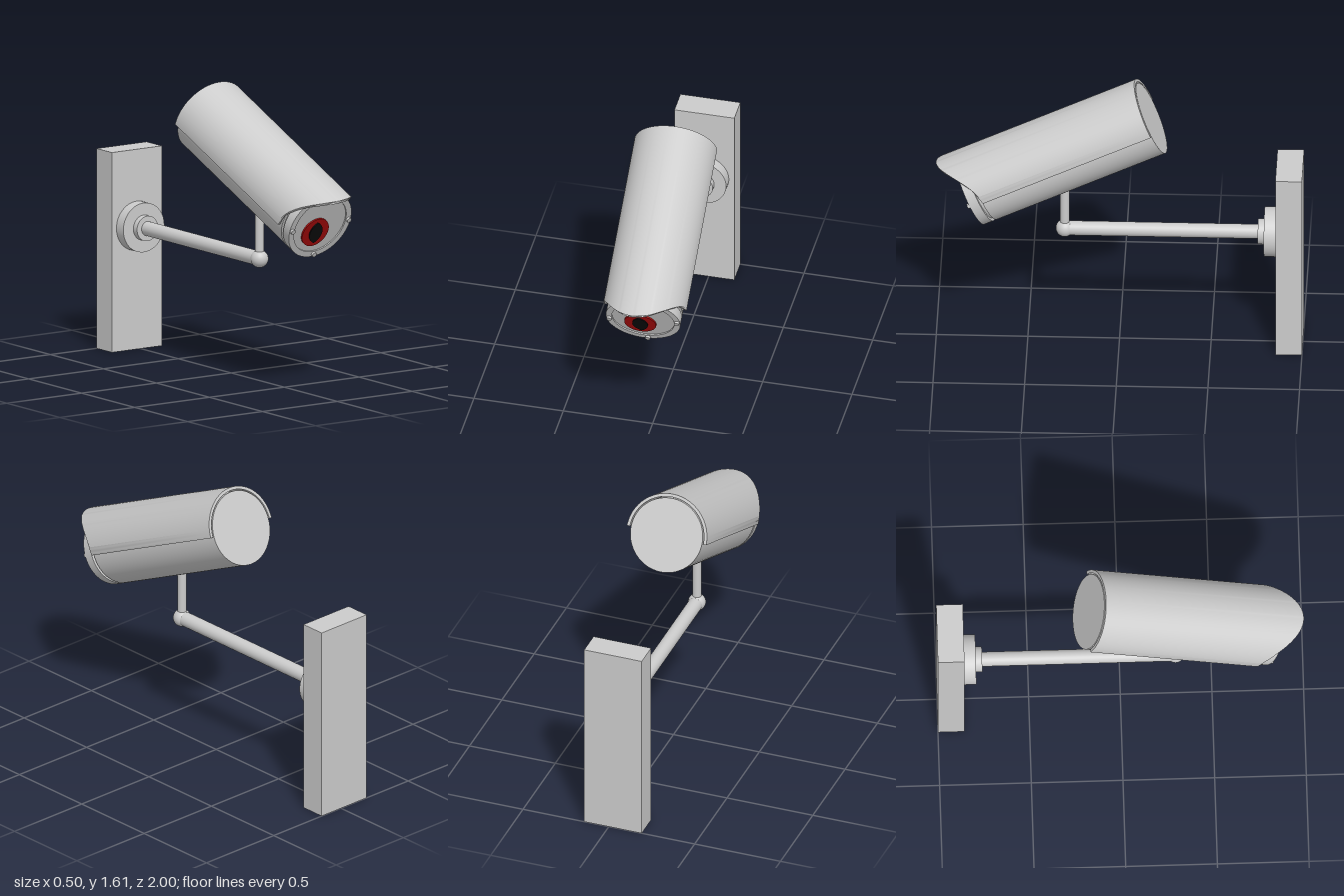
import * as THREE from 'three';
import { toCreasedNormals } from 'three/addons/utils/BufferGeometryUtils.js';

const grey = new THREE.MeshStandardMaterial({ color: 0xcccccc });
const red = new THREE.MeshStandardMaterial({ color: 0xaa0a0a });
const black = new THREE.MeshStandardMaterial({ color: 0x0c0c0c });

function add(parent, name, geometry, material = grey) {
  const mesh = new THREE.Mesh(geometry, material);
  mesh.name = name;
  parent.add(mesh);
  return mesh;
}

// Cylinder lying along z, from z0 to z1
function rodZ(radius, z0, z1, segments = 48) {
  return new THREE.CylinderGeometry(radius, radius, z1 - z0, segments)
    .rotateX(Math.PI / 2).translate(0, 0, (z0 + z1) / 2);
}

function extrude(shape, depth) {
  return toCreasedNormals(
    new THREE.ExtrudeGeometry(shape, { depth, bevelEnabled: false, curveSegments: 32 }), 0.6);
}

// Half-pipe sun shield whose front edge reaches forward towards the crown
function shieldGeometry(inner, outer, sideLength, peak) {
  const shape = new THREE.Shape();
  shape.absarc(0, 0, outer, 0, Math.PI, false);
  shape.absarc(0, 0, inner, Math.PI, 0, true);
  shape.closePath();
  const geo = new THREE.ExtrudeGeometry(shape, { depth: 1, bevelEnabled: false, curveSegments: 32 });
  const p = geo.attributes.position;
  for (let i = 0; i < p.count; i++) {
    if (p.getZ(i) < 0.5) continue;
    const s = p.getY(i) / Math.hypot(p.getX(i), p.getY(i));
    p.setZ(i, sideLength + peak * s * s);
  }
  return toCreasedNormals(geo, 0.6);
}

export function createModel() {
  const model = new THREE.Group();
  model.name = 'securityCamera';

  // Wall post, flanges and arm share one centre line
  const mount = new THREE.Group();
  mount.name = 'mount';
  mount.position.set(-0.024, 0.685, 0);
  model.add(mount);
  add(mount, 'wallPost', new THREE.BoxGeometry(0.335, 1.11, 0.145)).position.set(0, -0.13, -0.9275);
  add(mount, 'wallFlange', rodZ(0.137, -0.856, -0.79));
  add(mount, 'armCollar', rodZ(0.07, -0.791, -0.755));
  add(mount, 'arm', rodZ(0.04, -0.756, 0.3, 32));
  add(mount, 'elbowBall', new THREE.SphereGeometry(0.049, 32, 20)).position.set(0, 0, 0.3);
  add(mount, 'uprightRod', new THREE.CylinderGeometry(0.025, 0.025, 0.34, 24)).position.set(0, 0.17, 0.3);

  // Camera head: origin at the centre of its back, local +z runs to the lens
  const head = new THREE.Group();
  head.name = 'cameraHead';
  head.position.set(-0.025, 1.397, -0.174);
  head.rotation.set(0.428, 0.044, 0.07, 'YXZ');
  model.add(head);
  add(head, 'housing', rodZ(0.206, 0, 1.012, 64));
  add(head, 'housingGroove', rodZ(0.19, 1.01, 1.035, 64));
  add(head, 'sunShield', shieldGeometry(0.213, 0.23, 1.005, 0.183));

  // Front ring around the face plate
  const ring = new THREE.Shape();
  ring.absarc(0, 0, 0.206, 0, Math.PI * 2, false);
  const hole = new THREE.Path();
  hole.absarc(0, 0, 0.172, 0, Math.PI * 2, true);
  ring.holes.push(hole);
  add(head, 'frontRing', extrude(ring, 0.055)).position.z = 1.03;
  add(head, 'facePlate', rodZ(0.172, 1.03, 1.077, 64));

  // Screws on the ring
  for (const angle of [0, 0.5, 1, 1.5]) {
    const screw = add(head, 'ringScrew', rodZ(0.014, 1.08, 1.098, 16));
    screw.position.set(0.189 * Math.cos(angle * Math.PI), 0.189 * Math.sin(angle * Math.PI), 0);
  }

  // Red lens disc with a pointed black pupil
  const eye = new THREE.Group();
  eye.name = 'lens';
  eye.position.set(-0.022, -0.043, 0);
  head.add(eye);
  add(eye, 'lensDisc', rodZ(0.088, 1.07, 1.086, 48), red);
  const pupil = new THREE.Shape();
  pupil.moveTo(0, -0.066);
  pupil.bezierCurveTo(0.057, -0.033, 0.057, 0.033, 0, 0.066);
  pupil.bezierCurveTo(-0.057, 0.033, -0.057, -0.033, 0, -0.066);
  add(eye, 'pupil', extrude(pupil, 0.012), black).position.z = 1.08;

  return model;
}
